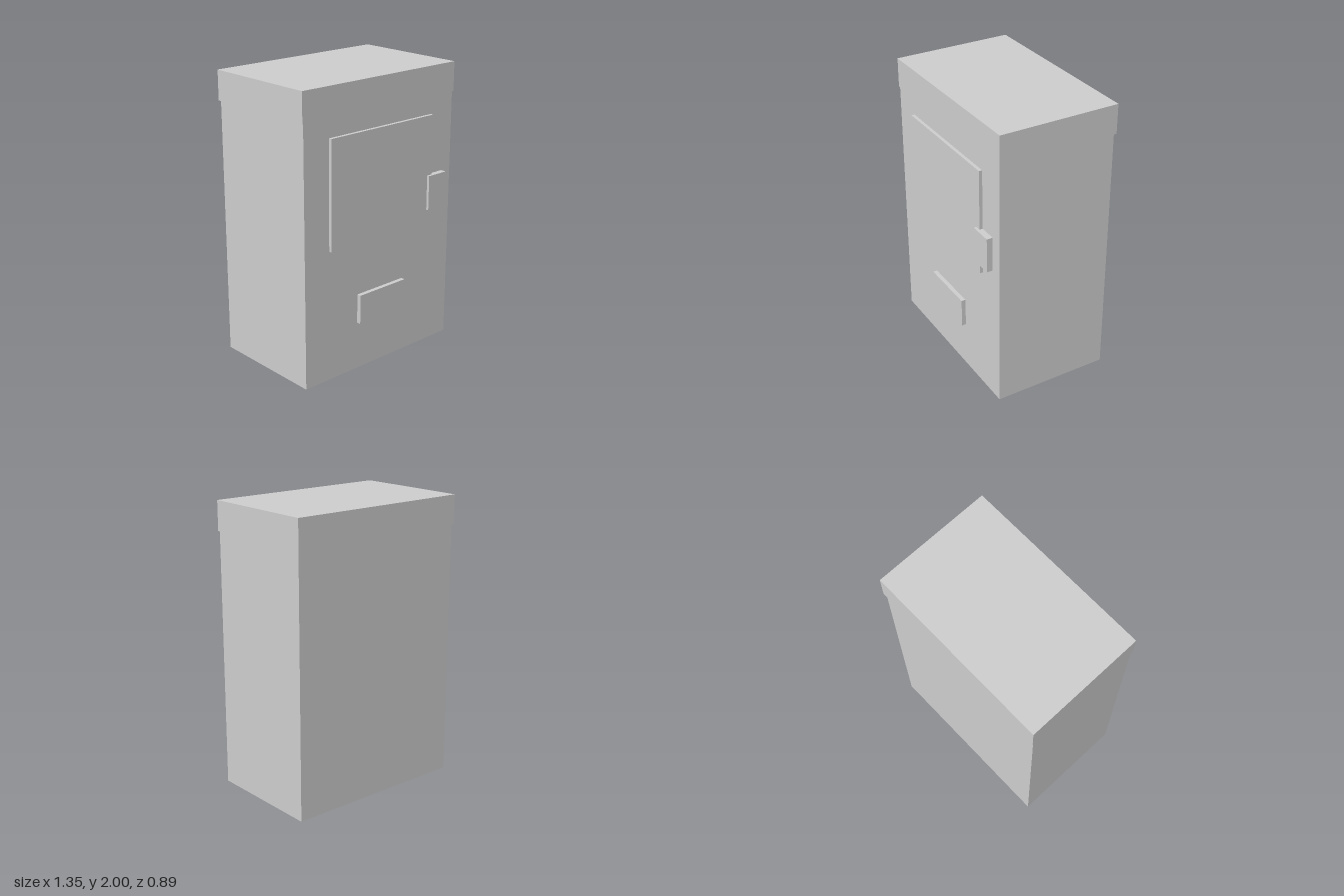
import * as THREE from 'three';

export function createModel() {
  const group = new THREE.Group();
  const grey = new THREE.MeshStandardMaterial({ color: 0xcccccc });
  grey.name = 'light grey';

  // Adds a box spanning the given [min, max] ranges
  function addBox(name, [x0, x1], [y0, y1], [z0, z1]) {
    const mesh = new THREE.Mesh(new THREE.BoxGeometry(x1 - x0, y1 - y0, z1 - z0), grey);
    mesh.position.set((x0 + x1) / 2, (y0 + y1) / 2, (z0 + z1) / 2);
    mesh.name = name;
    group.add(mesh);
  }

  const front = 0.401; // front face of the cabinet

  // Cabinet and its slightly overhanging lid
  addBox('cabinet', [-0.665, 0.663], [0, 1.795], [-0.43, front]);
  addBox('lid', [-0.674, 0.673], [1.795, 2], [-0.443, 0.405]);

  // Raised panels on the front
  addBox('displayPanel', [-0.459, 0.456], [0.92, 1.67], [front, 0.424]);
  addBox('coinBox', [0.415, 0.579], [1.004, 1.25], [front, 0.443]);
  addBox('dispenserFlap', [-0.21, 0.207], [0.339, 0.546], [front, 0.431]);

  return group;
}
